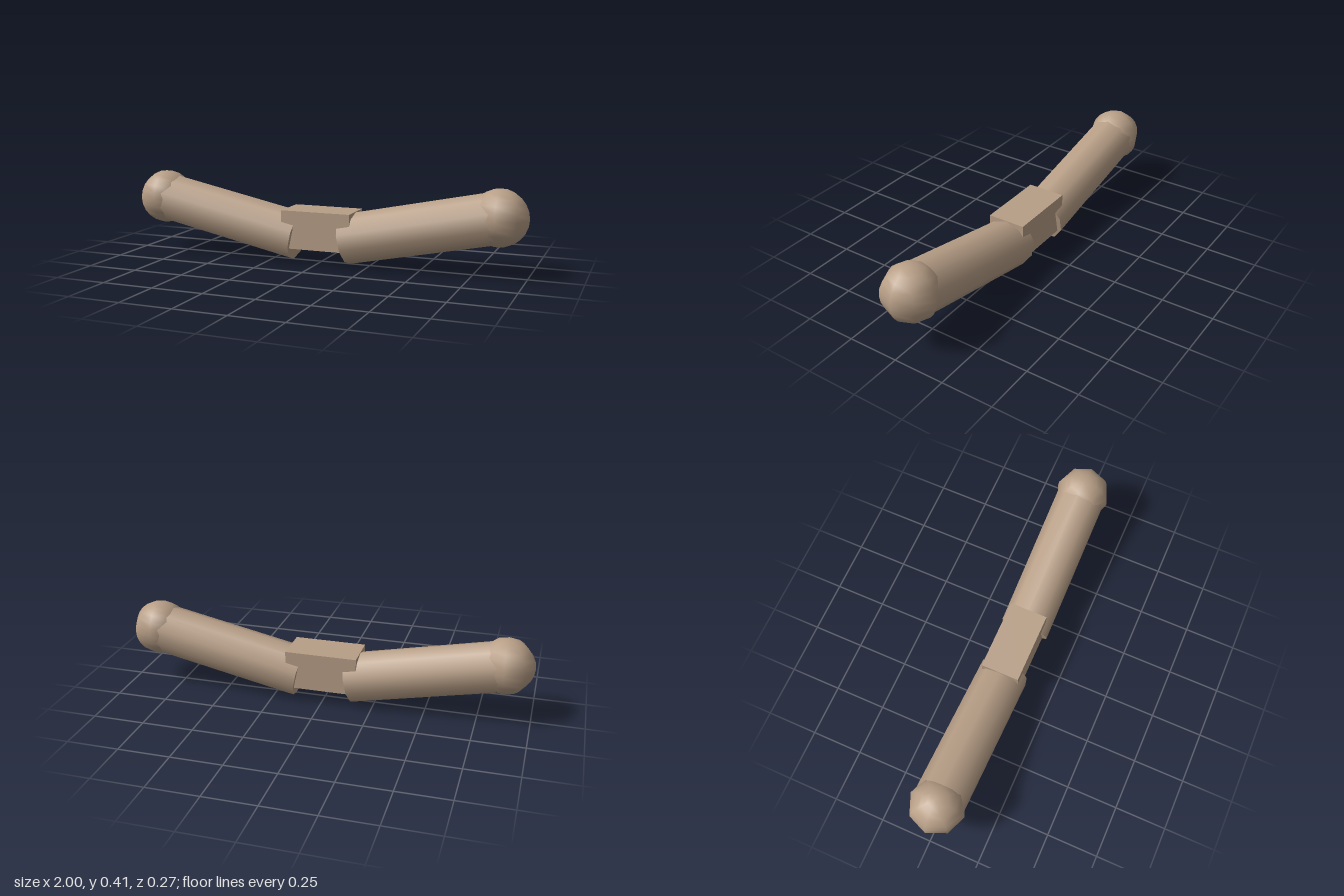
import * as THREE from 'three';

const material = new THREE.MeshStandardMaterial({ color: 0xb89f87 });

function addPart(parent, name, geometry, x, y) {
  const mesh = new THREE.Mesh(geometry, material);
  mesh.name = name;
  mesh.position.set(x, y, 0);
  parent.add(mesh);
  return mesh;
}

export function createModel() {
  const model = new THREE.Group();
  model.name = 'handlebar';

  // Square block joining the two arms
  addPart(model, 'centreBlock', new THREE.BoxGeometry(0.35, 0.187, 0.188), 0, 0.168);

  // Arms rise outward from the block and end in a ball
  const inner = new THREE.Vector2(0.125, 0.123);
  const outer = new THREE.Vector2(0.866, 0.278);
  const length = inner.distanceTo(outer);
  const tilt = Math.atan2(outer.y - inner.y, outer.x - inner.x);
  const middle = inner.clone().add(outer).multiplyScalar(0.5);

  for (const [side, sign] of [['left', 1], ['right', -1]]) {
    // Ten-sided arm with a corner line along its top and bottom
    const arm = addPart(model, side + 'Arm',
      new THREE.CylinderGeometry(0.1226, 0.1226, length, 10, 1, false, Math.PI / 2),
      sign * middle.x, middle.y);
    arm.rotation.z = sign * (tilt - Math.PI / 2);

    // Rounded end
    addPart(model, side + 'EndBall', new THREE.SphereGeometry(0.134, 8, 12), sign * outer.x, outer.y);
  }
  return model;
}
